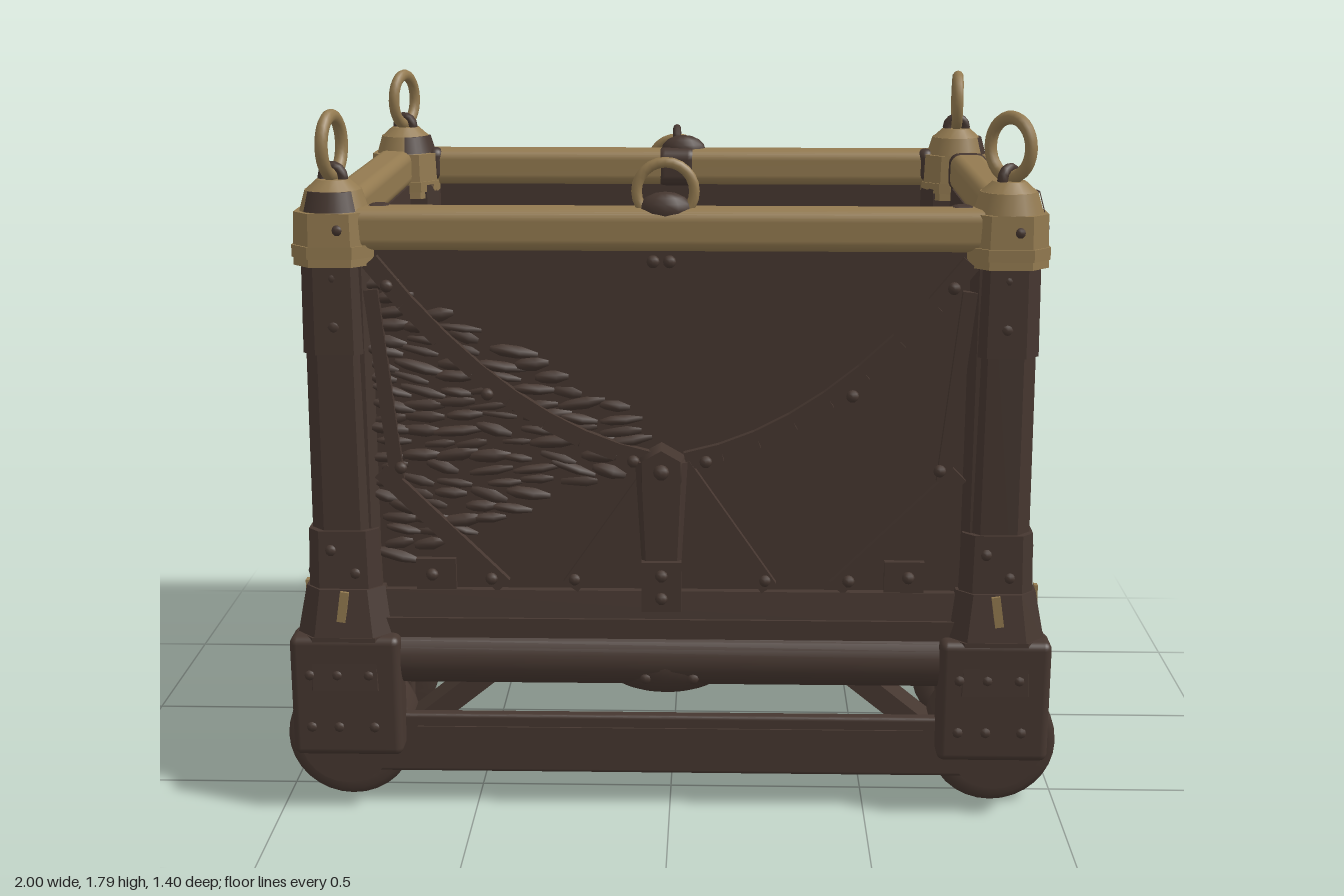
import * as THREE from 'three';
import { mergeGeometries } from 'three/addons/utils/BufferGeometryUtils.js';
import { RoundedBoxGeometry } from 'three/addons/geometries/RoundedBoxGeometry.js';

const iron = new THREE.MeshStandardMaterial({ color: 0x463730 });
iron.name = 'dark iron';
const brass = new THREE.MeshStandardMaterial({ color: 0x937a50 });
brass.name = 'worn brass';

function add(parent, name, geo, mat, x = 0, y = 0, z = 0) {
  const m = new THREE.Mesh(geo, mat);
  m.name = name;
  m.position.set(x, y, z);
  parent.add(m);
  return m;
}
const box = (w, h, d, r = 0) => r ? new RoundedBoxGeometry(w, h, d, 3, r) : new THREE.BoxGeometry(w, h, d);

// Upright block with cut corners, from y0 to y1, shrinking to the scale sx, sz at the top
function block(w, d, y0, y1, cut, sx = 1, sz = sx) {
  const a = w / 2, b = d / 2, s = new THREE.Shape();
  [[a - cut, -b], [a, cut - b], [a, b - cut], [a - cut, b], [cut - a, b], [-a, b - cut], [-a, cut - b], [cut - a, -b]]
    .forEach(([x, y], i) => (i ? s.lineTo(x, y) : s.moveTo(x, y)));
  const g = new THREE.ExtrudeGeometry(s, { depth: y1 - y0, bevelEnabled: false });
  g.rotateX(-Math.PI / 2);
  const p = g.attributes.position;
  for (let i = 0; i < p.count; i++) {
    const t = p.getY(i) / (y1 - y0);
    p.setX(i, p.getX(i) * (1 + (sx - 1) * t));
    p.setZ(i, p.getZ(i) * (1 + (sz - 1) * t));
  }
  g.translate(0, y0, 0);
  g.computeVertexNormals();
  return g;
}

// Flat strap between two points of a wall
function strap(parent, a, b, width, w = 0.008) {
  const dx = b[0] - a[0], dy = b[1] - a[1];
  const m = add(parent, 'strap', box(Math.hypot(dx, dy), width, 0.025), iron, (a[0] + b[0]) / 2, (a[1] + b[1]) / 2, w);
  m.rotation.z = Math.atan2(dy, dx);
}
function bentStrap(parent, a, c, b, width) {
  const curve = new THREE.QuadraticBezierCurve(new THREE.Vector2(...a), new THREE.Vector2(...c), new THREE.Vector2(...b));
  const pts = curve.getPoints(8).map((p) => [p.x, p.y]);
  for (let i = 1; i < pts.length; i++) strap(parent, pts[i - 1], pts[i], width);
}
function rivets(parent, list, z) {
  const geos = list.map(([x, y, r = 0.016]) => new THREE.SphereGeometry(r, 8, 6).translate(x, y, z));
  add(parent, 'rivets', mergeGeometries(geos), iron);
}

// Rough ragged layers through the wall wherever the rule inside(u, v) holds
function layers(parent, u0, u1, v0, v1, length, inside, seed) {
  const rnd = () => (seed = (seed * 16807) % 2147483647) / 2147483647;
  const geos = [];
  for (let v = v0; v < v1; v += 0.033) {
    for (let u = u0 + rnd() * length; u < u1; u += length * (1 + rnd() * 0.8)) {
      if (!inside(u, v)) continue;
      const g = new THREE.SphereGeometry(1, 7, 5);
      g.scale(length * (0.8 + rnd() * 0.5), 0.014 + rnd() * 0.008, 0.022 + rnd() * 0.012);
      geos.push(g.rotateZ((rnd() - 0.65) * 0.5).translate(u, v + (rnd() - 0.5) * 0.014, -0.016));
    }
  }
  add(parent, 'raggedLayers', mergeGeometries(geos), iron);
}

function side(root, name, angle, dist) {
  const g = new THREE.Group();
  g.name = name;
  g.rotation.y = angle;
  g.position.set(Math.sin(angle) * dist, 0, Math.cos(angle) * dist);
  root.add(g);
  return g;
}

function longWall(root, front) {
  const g = side(root, front ? 'frontWall' : 'backWall', front ? 0 : Math.PI, 0.605);
  add(g, 'panel', box(1.56, 0.96, 0.035), iron, 0, 0.98, -0.0175);
  for (const s of [-1, 1]) {
    if (front) bentStrap(g, [s * 0.73, 1.43], [s * 0.4, 1.0], [s * 0.04, 0.93], 0.045);
    else {
      strap(g, [s * 0.72, 1.4], [0, 0.92], 0.05);
      strap(g, [s * 0.68, 0.62], [s * 0.03, 0.92], 0.04);
    }
    strap(g, [s * 0.03, 0.92], [s * 0.25, 0.6], 0.045, 0.011);
    strap(g, [s * 0.72, 0.9], [s * 0.42, 0.6], 0.045);
    strap(g, [s * 0.73, 1.36], [s * 0.68, 0.88], 0.035);
    const curveBolt = front ? [[s * 0.45, 1.1]] : [];
    rivets(g, [[s * 0.69, 1.37], ...curveBolt, [s * 0.09, 0.93], [s * 0.67, 0.91], [s * 0.45, 0.62], [s * 0.24, 0.62], [s * 0.6, 0.63]], 0.02);
    add(g, 'smallPlate', box(0.1, 0.08, 0.02), iron, s * 0.59, 0.63, 0.008);
  }
  // Centre hanger plate
  add(g, 'hanger', block(0.09, 0.05, 0.58, 0.93, 0.01, 1.45, 1), iron, -0.02, 0, 0.01);
  const boss = add(g, 'boss', new THREE.CylinderGeometry(0.055, 0.065, 0.05, 6), iron, -0.02, 0.91, 0.025);
  boss.rotation.x = Math.PI / 2;
  add(g, 'hangerFoot', box(0.1, 0.13, 0.03), iron, -0.02, 0.61, 0.035);
  rivets(g, [[-0.02, 0.91, 0.02], [-0.02, 0.64], [-0.02, 0.58]], 0.05);
  rivets(g, [[-0.04, 1.43], [0, 1.43]], 0.005);
  if (front) {
    layers(g, -0.73, -0.08, 0.64, 1.42, 0.07, (u, v) => v < 1.4 - (u + 0.75) * 0.52 && v > 0.66 + (u + 0.7) * 0.42, 17);
  }
  // Lifting loop on the rim: upright at the front, hanging at the back
  const loop = add(g, 'middleRing', new THREE.TorusGeometry(front ? 0.07 : 0.078, 0.013, 8, 24), brass,
    front ? -0.01 : 0.01, front ? 1.6 : 1.51, front ? -0.01 : 0.06);
  if (!front) {
    loop.rotation.x = -0.25;
    add(g, 'ringClip', new THREE.TorusGeometry(0.03, 0.012, 8, 14), iron, 0.01, 1.585, 0.03).rotation.y = Math.PI / 2;
    add(g, 'ringSleeve', box(0.13, 0.112, 0.08, 0.032), iron, 0.01, 1.508, -0.033);
  }
  add(g, 'ringSaddle', new THREE.SphereGeometry(0.055, 12, 8), iron, -0.01, 1.555, -0.01).scale.set(1.2, 0.8, 0.7);
  // Rounded sill pipe with a swollen middle, and the low rail
  add(g, 'sillPipe', new THREE.CylinderGeometry(0.075, 0.075, 1.5, 24), iron, 0, 0.41, -0.006).rotation.z = Math.PI / 2;
  add(g, 'sillSwelling', new THREE.SphereGeometry(1, 20, 14), iron, -0.01, 0.395, -0.012).scale.set(0.17, 0.085, 0.08);
  rivets(g, [[-0.06, 0.37], [0.06, 0.37]], 0.054);
  const railZ = front ? 0.002 : -0.068;
  add(g, 'lowRail', box(1.62, 0.16, 0.035, 0.01), iron, 0, 0.17, railZ);
  add(g, 'railRidge', box(1.3, 0.035, 0.012), iron, 0, 0.2, railZ + 0.016);
  for (const s of [-1, 1]) {
    add(g, 'railEnd', new THREE.CylinderGeometry(0.12, 0.12, 0.045, 24), iron, s * 0.835, 0.18, railZ).rotation.x = Math.PI / 2;
  }
}

function shortWall(root, s) {
  const g = side(root, s > 0 ? 'leftWall' : 'rightWall', s * Math.PI / 2, 0.835);
  add(g, 'panel', box(1.1, 0.96, 0.035), iron, 0, 0.98, -0.0175);
  add(g, 'middleStrap', box(0.11, 0.5, 0.025), iron, 0, 1.19, 0.006);
  for (const t of [-1, 1]) {
    strap(g, [t * 0.46, 1.43], [0, 0.93], 0.05, 0.014);
    strap(g, [t * 0.02, 0.95], [t * 0.25, 0.62], 0.045, 0.012);
    strap(g, [t * 0.49, 1.4], [t * 0.49, 0.63], 0.03);
    rivets(g, [[t * 0.44, 1.4, 0.02], [t * 0.23, 0.65], [t * 0.03, 1.44]], 0.026);
  }
  const boss = add(g, 'boss', new THREE.SphereGeometry(0.055, 14, 10), iron, 0, 0.93, 0.02);
  boss.scale.z = 0.6;
  add(g, 'footClamp', box(0.09, 0.13, 0.04), iron, 0, 0.61, 0.022);
  rivets(g, [[0, 0.64], [0, 0.57]], 0.042);
  // Worn patches of the panel
  layers(g, -0.43, -0.2, 0.66, 1.06, 0.05, (u, v) => v < 1.0 || u > -0.35, 31);
  layers(g, -0.12, -0.06, 0.98, 1.42, 0.04, () => true, 43);
  layers(g, 0.09, 0.24, 1.14, 1.42, 0.05, () => true, 57);
  // Sill above the wheels
  add(g, 'sideSill', box(1.12, 0.13, 0.13, 0.03), iron, 0, 0.41, 0);
  rivets(g, [-0.34, -0.15, 0, 0.15, 0.29].map((u) => [u, 0.42, 0.02]), 0.06);
}

function corner(root, sx, sz, turn, chip) {
  const g = new THREE.Group();
  g.name = 'corner';
  g.position.set(sx * 0.82, 0, sz * 0.57);
  root.add(g);
  add(g, 'post', block(0.165, 0.15, 0.5, 1.46, 0.035, 0.9), iron);
  add(g, 'innerPost', block(0.14, 0.13, 0.5, 1.46, 0.03), iron, -sx * 0.03, 0, -sz * 0.01);
  add(g, 'postBand', block(0.166, 0.15, 1.2, 1.42, 0.035, 0.96), iron);
  add(g, 'postShoe', block(0.185, 0.17, 0.58, 0.75, 0.03, 0.95), iron);
  add(g, 'flare', block(0.25, 0.235, 0.47, 0.6, 0.05, 0.8), iron);
  add(g, 'flareBase', block(0.265, 0.245, 0.34, 0.48, 0.05, 0.96), iron);
  add(g, 'footPlate', box(0.28, 0.32, 0.1, 0.02), iron, 0, 0.32, sz * 0.07);
  // Chipped wear marks on the shoe
  add(g, 'wearMark', box(0.022, 0.08, 0.009), brass, 0, 0.56, sz * 0.108).rotation.z = sx * 0.15;
  add(g, 'wearMark', box(0.009, 0.08, 0.022), brass, sx * 0.112, 0.55, -sz * 0.02);
  // Bolts on both outer faces
  const f = new THREE.Group();
  f.scale.z = sz;
  g.add(f);
  rivets(f, [[-0.09, 0.38], [-0.02, 0.38], [0.06, 0.38], [-0.09, 0.24], [-0.02, 0.24], [0.07, 0.24]], 0.112);
  rivets(f, [[-0.03, 0.7], [0.03, 0.64]], 0.076);
  rivets(f, [[0, 1.27, 0.02], [0, 1.39]], 0.06);
  const b = new THREE.Group();
  b.rotation.y = sx * Math.PI / 2;
  g.add(b);
  rivets(b, [[0, 0.7], [0.03, 0.63]], 0.083);
  rivets(b, [[0, 1.27, 0.02], [0, 1.08], [0, 0.9]], 0.066);
  // Cap and lifting ring
  add(g, 'cap', block(0.195, 0.175, 1.42, 1.55, 0.045, 0.95), brass);
  add(g, 'capBand', block(0.2, 0.18, 1.44, 1.47, 0.045), brass);
  add(g, 'capBolt', new THREE.SphereGeometry(0.014, 8, 6), iron, 0.02, 1.51, sz * 0.08);
  add(g, 'capBolt', new THREE.SphereGeometry(0.014, 8, 6), iron, sx * 0.088, 1.51, 0);
  add(g, 'collar', new THREE.CylinderGeometry(0.07, 0.085, 0.05, 16), brass, 0, 1.575, 0);
  add(g, 'dome', new THREE.CylinderGeometry(0.04, 0.068, 0.025, 16), brass, 0, 1.612, 0);
  add(g, 'collarChip', new THREE.CylinderGeometry(0.074, 0.088, 0.048, 8, 1, false, chip, 1.6), iron, 0, 1.576, 0);
  add(g, 'eye', new THREE.TorusGeometry(0.027, 0.013, 8, 14), iron, 0, 1.628, 0).rotation.y = turn + Math.PI / 2;
  const ring = add(g, 'liftingRing', new THREE.TorusGeometry(0.068, 0.016, 10, 28), brass, 0, 1.705, 0);
  ring.scale.set(0.9, 1.05, 1);
  ring.rotation.y = turn;
}

function wheels(root, s) {
  const profile = [[0, -0.07], [0.1, -0.07], [0.11, -0.078], [0.145, -0.078], [0.163, -0.066], [0.165, -0.05],
    [0.165, 0.05], [0.163, 0.066], [0.145, 0.078], [0.11, 0.078], [0.1, 0.07], [0, 0.07]].map((p) => new THREE.Vector2(...p));
  for (const z of [0.5, 0.045, -0.42]) {
    add(root, 'wheel', new THREE.LatheGeometry(profile, 32), iron, s * 0.835, 0.165, z).rotation.x = Math.PI / 2;
    add(root, 'hub', new THREE.CylinderGeometry(0.04, 0.04, 0.17, 12), iron, s * 0.835, 0.165, z).rotation.x = Math.PI / 2;
    const strut = add(root, 'strut', box(0.46, 0.055, 0.12), iron, s * 0.56, 0.265, z);
    strut.rotation.z = -s * 0.68;
  }
  // Carrier plates between the wheels, joined by a low bar
  for (const z of [0.27, -0.19]) {
    for (const t of [-1, 1]) {
      add(root, 'carrierPlate', box(0.2, 0.26, 0.034, 0.014), iron, s * 0.83, 0.195, z + t * 0.115);
      add(root, 'carrierBoss', new THREE.CylinderGeometry(0.035, 0.055, 0.03, 14), iron, s * 0.83, 0.21, z + t * 0.09).rotation.x = -t * Math.PI / 2;
      add(root, 'carrierBolt', box(0.03, 0.03, 0.04), iron, s * 0.945, 0.21, z + t * 0.115);
    }
    add(root, 'lowBar', box(0.08, 0.055, 0.22, 0.01), iron, s * 0.83, 0.1, z);
    add(root, 'carrierTop', box(0.2, 0.06, 0.2), iron, s * 0.82, 0.325, z);
  }
}

export function createModel() {
  const root = new THREE.Group();
  root.name = 'cargoCrate';
  // Floor and sloping skirt
  add(root, 'floor', box(1.62, 0.07, 1.16), iron, 0, 0.46, 0);
  add(root, 'skirt', block(1.77, 1.29, 0.46, 0.52, 0.04), iron);
  for (const s of [-1, 1]) {
    add(root, 'skirtBoard', block(1.55, 0.07, 0.5, 0.59, 0.01, 1, 0.6), iron, 0, 0, s * 0.605);
    add(root, 'skirtBoard', block(0.07, 1.1, 0.5, 0.61, 0.01, 0.6, 1), iron, s * 0.84, 0, 0);
  }
  for (const front of [true, false]) longWall(root, front);
  for (const s of [-1, 1]) {
    shortWall(root, s);
    wheels(root, s);
    // Top rim with bare iron patches beside the caps
    add(root, 'longRim', box(1.66, 0.105, 0.1, 0.03), brass, 0, 1.508, s * 0.585);
    add(root, 'shortRim', box(0.105, 0.105, 1.16, 0.03), brass, s * 0.845, 1.508, 0);
    add(root, 'barePatch', box(0.07, 0.1, 0.07, 0.025), iron, s * 0.71, 1.515, 0.565);
    add(root, 'barePatch', box(0.05, 0.1, 0.06, 0.025), iron, s * 0.73, 1.515, -0.56);
  }
  add(root, 'barePatch', box(0.11, 0.11, 0.07, 0.03), iron, 0.845, 1.508, -0.46);
  corner(root, 1, 1, -0.8, 1.2);
  corner(root, -1, 1, 1.35, -0.8);
  corner(root, 1, -1, 1.5, 0.9);
  corner(root, -1, -1, 1.2, 0.1);
  return root;
}
